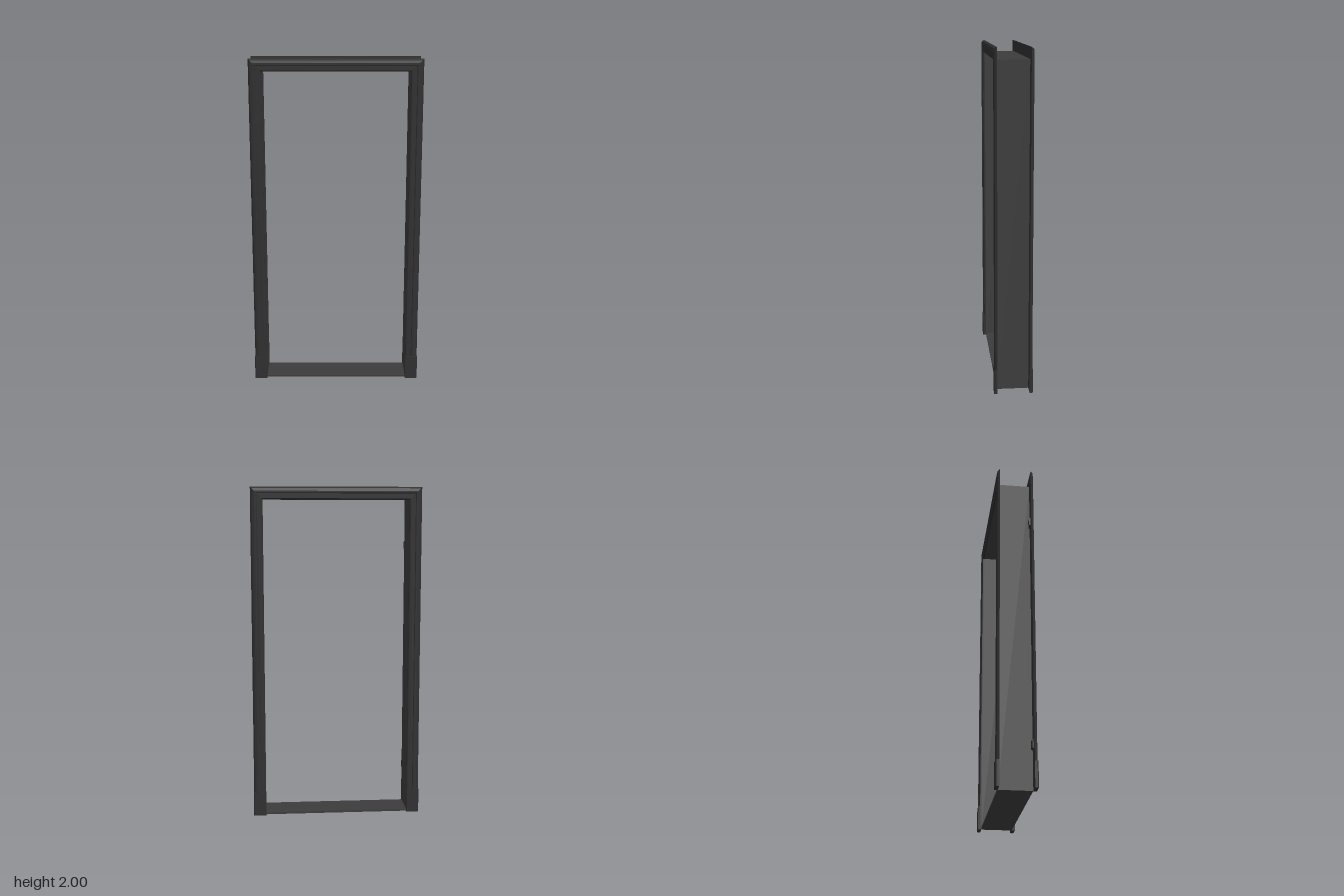
import * as THREE from 'three';

const frameMat = new THREE.MeshStandardMaterial({ color: 0x303030 });
frameMat.name = 'dark trim';
const liningMat = new THREE.MeshStandardMaterial({ color: 0x3c3c3c });
liningMat.name = 'grey lining';

const INNER = 0.437;   // half width of the opening
const HEAD = 1.927;    // height of the opening
const WIDTH = 0.073;   // face width of the trim
const DEPTH = 0.094;   // half depth of the lining

function box(name, mat, x0, x1, y0, y1, z0, z1) {
  const mesh = new THREE.Mesh(new THREE.BoxGeometry(x1 - x0, y1 - y0, z1 - z0), mat);
  mesh.position.set((x0 + x1) / 2, (y0 + y1) / 2, (z0 + z1) / 2);
  mesh.name = name;
  return mesh;
}

// Moulded trim: one profile swept up, across and down with mitred corners
function trimGeometry() {
  const profile = [ // distance out from the opening, z
    [0, DEPTH], [0, 0.103], [0.005, 0.107], [0.034, 0.107], [0.038, 0.112],
    [0.048, 0.112], [0.064, 0.107], [WIDTH, DEPTH],
  ];
  const stations = [ // x, y, outward direction
    [-INNER, 0, -1, 0], [-INNER, HEAD, -1, 1], [INNER, HEAD, 1, 1], [INNER, 0, 1, 0],
  ];
  const point = ([x, y, dx, dy], [u, z]) => [x + dx * u, y + dy * u, z];
  const pos = [];
  for (let s = 0; s < stations.length - 1; s++) {
    for (let p = 0; p < profile.length; p++) {
      const q = (p + 1) % profile.length;
      const a = point(stations[s], profile[p]);
      const b = point(stations[s + 1], profile[p]);
      const c = point(stations[s + 1], profile[q]);
      const d = point(stations[s], profile[q]);
      pos.push(...a, ...b, ...c, ...a, ...c, ...d);
    }
  }
  const geo = new THREE.BufferGeometry();
  geo.setAttribute('position', new THREE.Float32BufferAttribute(pos, 3));
  geo.computeVertexNormals();
  return geo;
}

// Plinth block with its outer front edge cut back
function plinthGeometry() {
  const s = new THREE.Shape();
  s.moveTo(0, -DEPTH);
  s.lineTo(WIDTH + 0.002, -DEPTH);
  s.lineTo(WIDTH + 0.002, -0.108);
  s.lineTo(WIDTH - 0.004, -0.114);
  s.lineTo(0, -0.114);
  s.closePath();
  const geo = new THREE.ExtrudeGeometry(s, { depth: 0.145, bevelEnabled: false });
  geo.rotateX(-Math.PI / 2); // shape -y becomes +z
  geo.translate(INNER, 0, 0);
  return geo;
}

function mirrorX(geo) {
  const g = geo.clone().scale(-1, 1, 1);
  const p = g.attributes.position;
  for (let i = 0; i < p.count; i += 3) {
    const a = new THREE.Vector3().fromBufferAttribute(p, i + 1);
    const b = new THREE.Vector3().fromBufferAttribute(p, i + 2);
    p.setXYZ(i + 1, b.x, b.y, b.z);
    p.setXYZ(i + 2, a.x, a.y, a.z);
  }
  g.computeVertexNormals();
  return g;
}

export function createModel() {
  const model = new THREE.Group();
  model.name = 'doorFrame';

  // Thin lining boards and threshold
  const t = 0.004;
  model.add(box('rightLining', liningMat, -INNER - t, -INNER, 0, HEAD, -DEPTH, DEPTH));
  model.add(box('leftLining', liningMat, INNER, INNER + t, 0, HEAD, -DEPTH, DEPTH));
  model.add(box('headLining', liningMat, -INNER - t, INNER + t, HEAD, HEAD + t, -DEPTH, DEPTH));
  model.add(box('threshold', liningMat, -INNER, INNER, 0, 0.012, -DEPTH, DEPTH));

  // Trim and plinths, alike on the front and back
  const trim = trimGeometry();
  const plinth = plinthGeometry();
  const plinthMirrored = mirrorX(plinth.toNonIndexed ? (plinth.index ? plinth.toNonIndexed() : plinth) : plinth);
  for (const [name, turn] of [['front', 0], ['back', Math.PI]]) {
    const side = new THREE.Group();
    side.name = name + 'Casing';
    for (const [part, geo] of [['Trim', trim], ['PlinthA', plinth], ['PlinthB', plinthMirrored]]) {
      const mesh = new THREE.Mesh(geo, frameMat);
      mesh.name = name + part;
      side.add(mesh);
    }
    side.rotation.y = turn;
    model.add(side);
  }

  // Hinges on the front of the right post
  for (const [name, y] of [['upper', 1.65], ['lower', 0.25]]) {
    const hinge = new THREE.Group();
    hinge.name = name + 'Hinge';
    hinge.add(box('hingePlate', frameMat, -0.48, -INNER, y - 0.025, y + 0.025, 0.086, 0.109));
    const barrel = new THREE.Mesh(new THREE.CylinderGeometry(0.006, 0.006, 0.04, 10), frameMat);
    barrel.name = 'hingeBarrel';
    barrel.position.set(-0.44, y, 0.104);
    hinge.add(barrel);
    model.add(hinge);
  }
  // Strike plate above the lower hinge
  model.add(box('strikePlate', frameMat, -0.48, -INNER - 0.001, 0.275, 0.32, 0.1, 0.108));

  return model;
}
